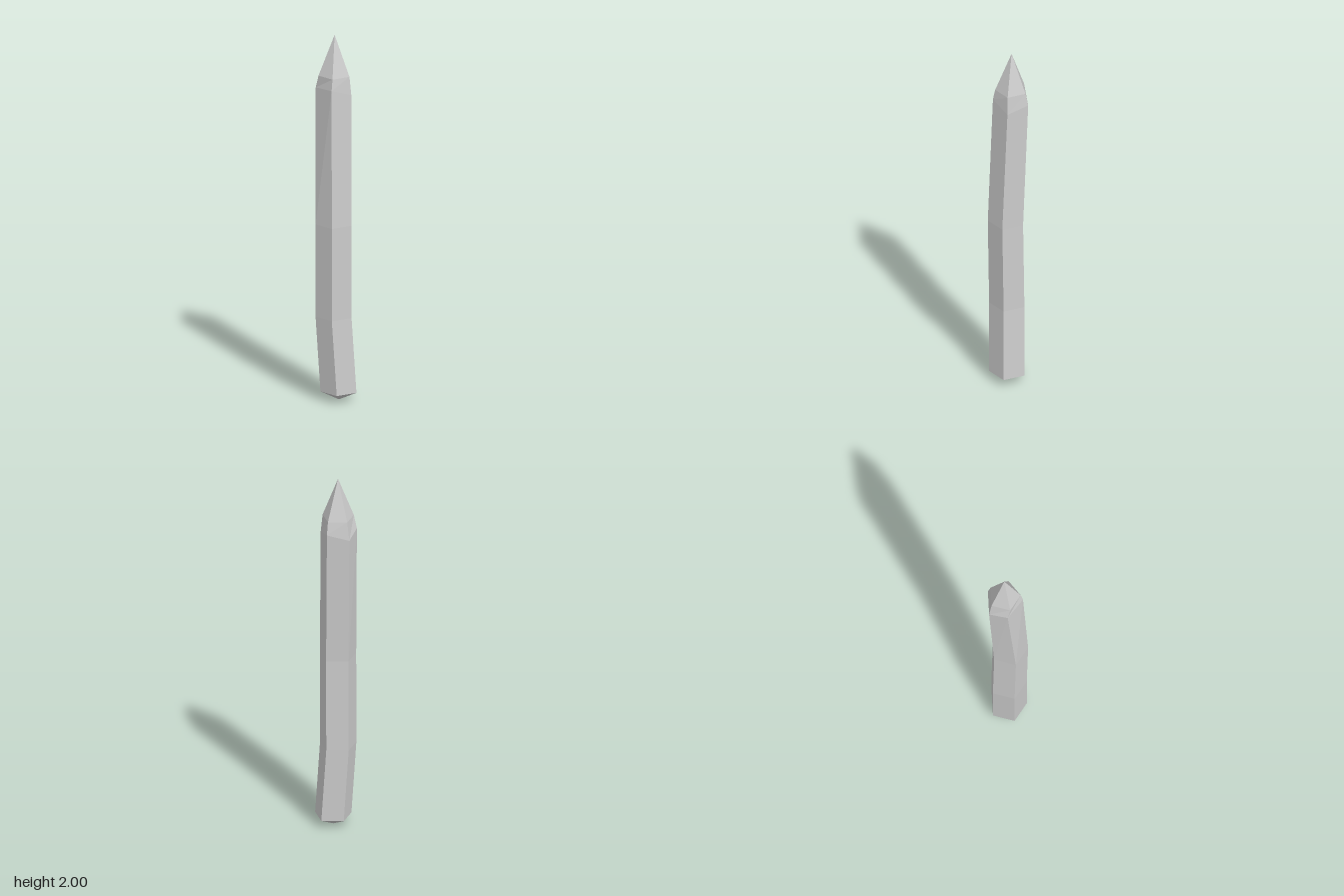
import * as THREE from 'three';

const SIDES = 5;

// Pentagonal ring with one corner on +x, running towards +z
function ring(x, y, z, r) {
  return Array.from({ length: SIDES }, (_, i) => {
    const a = (i / SIDES) * Math.PI * 2;
    return new THREE.Vector3(x + r * Math.cos(a), y, z + r * Math.sin(a));
  });
}

// Skin consecutive rings with flat facets; a zero-radius ring makes a point
function skin(rings) {
  const pos = [];
  const tri = (...pts) => {
    const area = pts[1].clone().sub(pts[0]).cross(pts[2].clone().sub(pts[0])).length();
    if (area > 1e-9) pts.forEach((p) => pos.push(p.x, p.y, p.z));
  };
  for (let k = 0; k < rings.length - 1; k++) {
    for (let i = 0; i < SIDES; i++) {
      const j = (i + 1) % SIDES, lo = rings[k], hi = rings[k + 1];
      tri(lo[i], hi[i], lo[j]);
      tri(hi[i], hi[j], lo[j]);
    }
  }
  const geo = new THREE.BufferGeometry();
  geo.setAttribute('position', new THREE.Float32BufferAttribute(pos, 3));
  geo.computeVertexNormals();
  return geo;
}

export function createModel() {
  const group = new THREE.Group();
  group.name = 'stake';
  const material = new THREE.MeshStandardMaterial({ color: 0xcccccc, flatShading: true });

  // Uneven shoulder, where the shaft turns into the point
  const shoulder = ring(0, 1.7, -0.02, 0.1);
  [1.71, 1.68, 1.72, 1.71, 1.68].forEach((y, i) => { shoulder[i].y = y; });
  shoulder[3].x = -0.068;
  shoulder[3].z = -0.088;
  const neck = ring(0, 1.78, -0.016, 0.086);

  const parts = {
    base: [ring(0, 0, 0.015, 0), ring(0, 0.05, 0.017, 0.1)],
    // Slightly bent shaft
    shaft: [
      ring(0, 0.05, 0.017, 0.1),
      ring(-0.014, 0.46, -0.005, 0.1),
      ring(-0.019, 0.97, 0, 0.1),
      shoulder,
    ],
    tip: [shoulder, neck, ring(0, 2, -0.016, 0)],
  };
  for (const [name, rings] of Object.entries(parts)) {
    const mesh = new THREE.Mesh(skin(rings), material);
    mesh.name = name;
    group.add(mesh);
  }
  return group;
}
